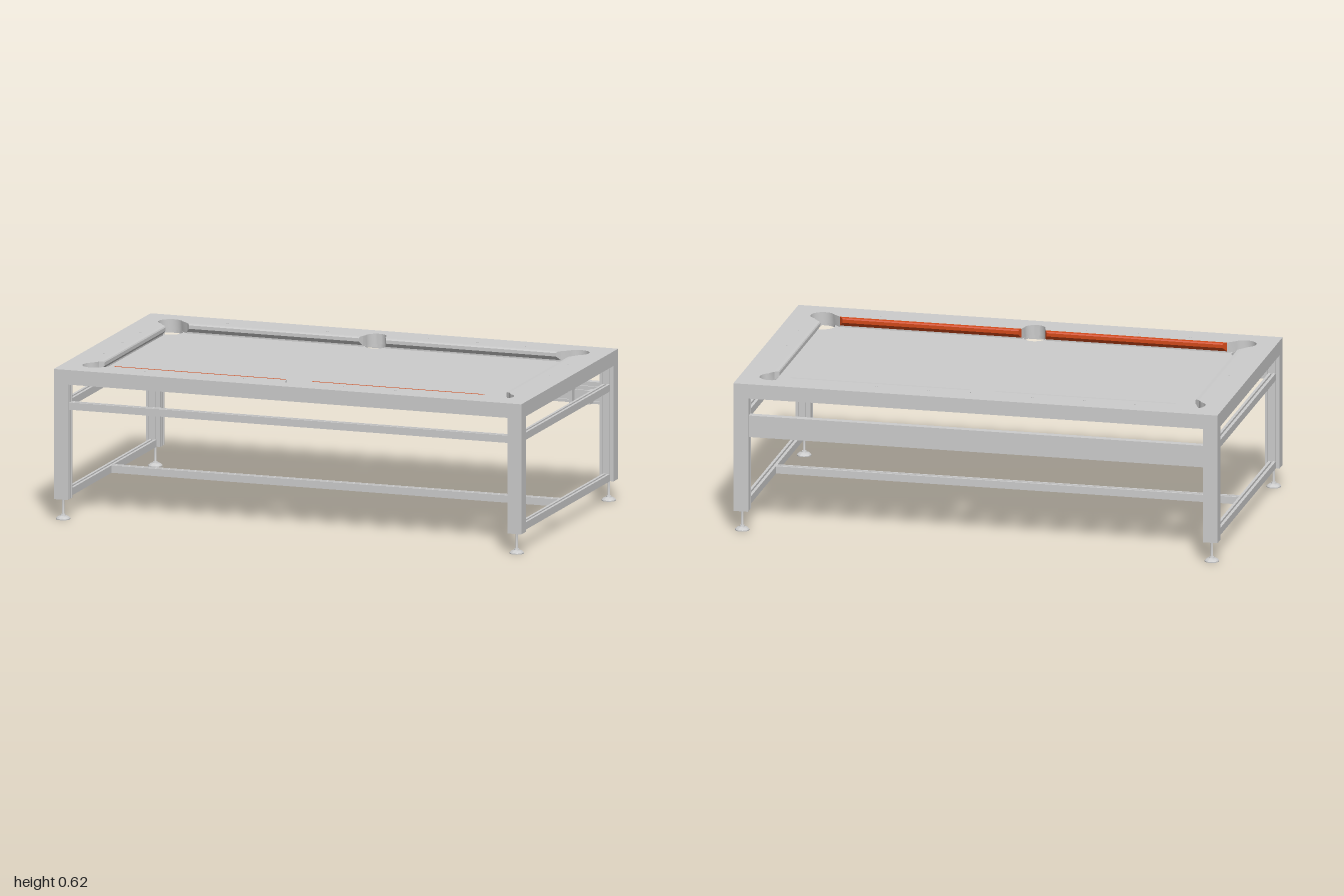
import * as THREE from 'three';
import { toCreasedNormals } from 'three/addons/utils/BufferGeometryUtils.js';

const grey = new THREE.MeshStandardMaterial({ color: 0xcccccc });
const orange = new THREE.MeshStandardMaterial({ color: 0xd2491a });
const UNIT = 0.03; // slot spacing of the extruded beams
const TOP = 0.62;

function add(parent, name, geometry, material = grey) {
  const mesh = new THREE.Mesh(geometry, material);
  mesh.name = name;
  parent.add(mesh);
  return mesh;
}

// Rectangle with slots cut in the chosen sides (0 bottom, 1 right, 2 top, 3 left)
function slottedShape(w, h, sides) {
  const pts = [];
  const half = 0.004, depth = 0.009;
  const corners = [[-w / 2, -h / 2], [w / 2, -h / 2], [w / 2, h / 2], [-w / 2, h / 2]];
  const dirs = [[1, 0], [0, 1], [-1, 0], [0, -1]];
  corners.forEach(([cx, cy], i) => {
    const [dx, dy] = dirs[i];
    const put = (s, d) => pts.push(new THREE.Vector2(cx + dx * s - dy * d, cy + dy * s + dx * d));
    put(0, 0);
    if (!sides.includes(i)) return;
    const length = i % 2 ? h : w;
    const count = Math.round(length / UNIT);
    for (let k = 0; k < count; k++) {
      const s = (k + 0.5) * length / count;
      put(s - half, 0);
      put(s - half, depth);
      put(s + half, depth);
      put(s + half, 0);
    }
  });
  return new THREE.Shape(pts);
}

// Slotted beam running along the given axis, centred on its own origin
function beam(parent, name, w, h, length, sides, axis, position) {
  const g = new THREE.ExtrudeGeometry(slottedShape(w, h, sides), { depth: length, bevelEnabled: false });
  g.translate(0, 0, -length / 2);
  if (axis === 'y') g.rotateX(-Math.PI / 2);
  if (axis === 'x') g.rotateY(Math.PI / 2);
  add(parent, name, g).position.set(...position);
}

function rectangle(x, z) {
  return new THREE.Shape([[-x, -z], [x, -z], [x, z], [-x, z]].map(p => new THREE.Vector2(...p)));
}

// Flat slab from a plan shape, between two heights
function slab(parent, name, shape, y0, y1) {
  const g = new THREE.ExtrudeGeometry(shape, { depth: y1 - y0, bevelEnabled: false, curveSegments: 24 });
  g.rotateX(-Math.PI / 2);
  add(parent, name, toCreasedNormals(g, 0.6)).position.y = y0;
}

// Inner outline of the rail tops with pocket cut-outs, mirrored from one quarter
function pocketOutline() {
  const q = [];
  const arc = (cx, cy, r, a0, a1, n) => {
    for (let i = 0; i <= n; i++) {
      const a = THREE.MathUtils.degToRad(a0 + (a1 - a0) * i / n);
      q.push([cx + r * Math.cos(a), cy + r * Math.sin(a)]);
    }
  };
  arc(0, 0.47, 0.043, 90, 0, 8);
  q.push([0.05, 0.447], [0.8, 0.447]);
  arc(0.87, 0.445, 0.05, 150, -60, 18);
  q.push([0.877, 0.375]);
  const back = [...q].reverse();
  const all = [
    ...q,
    ...back.map(([x, y]) => [x, -y]).slice(0, -1),
    ...q.map(([x, y]) => [-x, -y]),
    ...back.map(([x, y]) => [-x, y]).slice(0, -1),
  ];
  return new THREE.Path(all.map(p => new THREE.Vector2(...p)));
}

// Cushion nose with angled ends: from/to along the rail, slopes cut the jaws
function cushion(parent, nose, from, to, slope0, slope1, angle, material) {
  const b = 0.017;
  const profile = new THREE.Shape([[b, 0.583], [b, TOP], [0.003, TOP - 0.001], [0, 0.614], [0, 0.6]]
    .map(p => new THREE.Vector2(...p)));
  const g = new THREE.ExtrudeGeometry(profile, { depth: 1, bevelEnabled: false });
  const p = g.attributes.position;
  for (let i = 0; i < p.count; i++) {
    const d = p.getX(i);
    p.setX(i, nose + d);
    p.setZ(i, p.getZ(i) > 0.5 ? to + d * slope1 : from - d * slope0);
  }
  g.computeVertexNormals();
  add(parent, 'cushion', g, material).rotation.y = angle;
}

export function createModel() {
  const table = new THREE.Group();
  table.name = 'poolTable';

  // Outer frame
  const frame = rectangle(1, 0.571);
  frame.holes.push(rectangle(0.94, 0.514));
  slab(table, 'outerFrame', frame, 0.56, TOP);

  // Rail tops with pocket openings
  const rails = rectangle(0.94, 0.514);
  rails.holes.push(pocketOutline());
  slab(table, 'railTop', rails, 0.577, TOP);

  // Playing bed with six pocket holes
  const bed = rectangle(0.94, 0.514);
  for (const sz of [-1, 1]) {
    for (const [x, z, r] of [[-0.87, 0.445, 0.05], [0, 0.47, 0.043], [0.87, 0.445, 0.05]]) {
      bed.holes.push(new THREE.Path().absarc(x, sz * z, r, 0, Math.PI * 2, true));
    }
  }
  slab(table, 'playingBed', bed, 0.565, 0.577);

  // Cushions: two on each long rail, one on each short rail
  for (const s of [-1, 1]) {
    const colour = s > 0 ? orange : grey;
    cushion(table, 0.43, 0.058, 0.785, 0.45, 0.9, -s * Math.PI / 2, colour);
    cushion(table, 0.43, -0.785, -0.058, 0.9, 0.45, -s * Math.PI / 2, colour);
    cushion(table, 0.86, -0.36, 0.36, 0.9, 0.9, s > 0 ? 0 : Math.PI, grey);
  }

  // Sight dots on the rail tops
  const dot = new THREE.CylinderGeometry(0.005, 0.005, 0.002, 12);
  for (const s of [-1, 1]) {
    for (const x of [-0.64, -0.43, -0.215, 0.215, 0.43, 0.64]) add(table, 'sightDot', dot).position.set(x, TOP, s * 0.487);
    for (const z of [-0.215, 0, 0.215]) add(table, 'sightDot', dot).position.set(s * 0.914, TOP, z);
  }

  // Legs with slots on the inner faces, and levelling feet
  const footProfile = [[0, 0], [0.029, 0], [0.029, 0.004], [0.022, 0.011], [0.011, 0.015], [0.009, 0.02], [0.005, 0.02], [0.005, 0.09]];
  const foot = toCreasedNormals(new THREE.LatheGeometry(footProfile.map(p => new THREE.Vector2(...p)), 24), 0.7);
  for (const sx of [-1, 1]) {
    for (const sz of [-1, 1]) {
      beam(table, 'leg', 0.06, 0.057, 0.475, [sx > 0 ? 3 : 1, sz > 0 ? 2 : 0], 'y', [sx * 0.97, 0.3225, sz * 0.5425]);
      add(table, 'levellingFoot', foot).position.set(sx * 0.97, 0, sz * 0.5425);
    }
    // Cross bars between the legs of each end
    for (const y of [0.1, 0.469]) beam(table, 'endBar', UNIT, UNIT, 1.028, [0, 2], 'z', [sx * 0.97, y, 0]);
  }

  // Long members: low centre stretcher, front bar, deep back beam
  beam(table, 'centreStretcher', UNIT, UNIT, 1.91, [0, 2], 'x', [0, 0.1, 0]);
  beam(table, 'frontBar', UNIT, UNIT, 1.88, [0, 2], 'x', [0, 0.469, 0.5425]);
  beam(table, 'backBeam', UNIT, 0.09, 1.88, [3], 'x', [0, 0.44, -0.5425]);

  // Brackets on the inside of the back beam
  for (const s of [-1, 1]) {
    const bracket = new THREE.Group();
    bracket.name = 'bracket';
    bracket.position.set(s * 0.865, 0.428, -0.508);
    for (const e of [-1, 1]) add(bracket, 'bracketCheek', new THREE.BoxGeometry(0.012, 0.055, 0.04)).position.x = e * 0.039;
    add(bracket, 'bracketWeb', new THREE.BoxGeometry(0.07, 0.045, 0.008)).position.z = -0.014;
    table.add(bracket);
  }
  return table;
}
